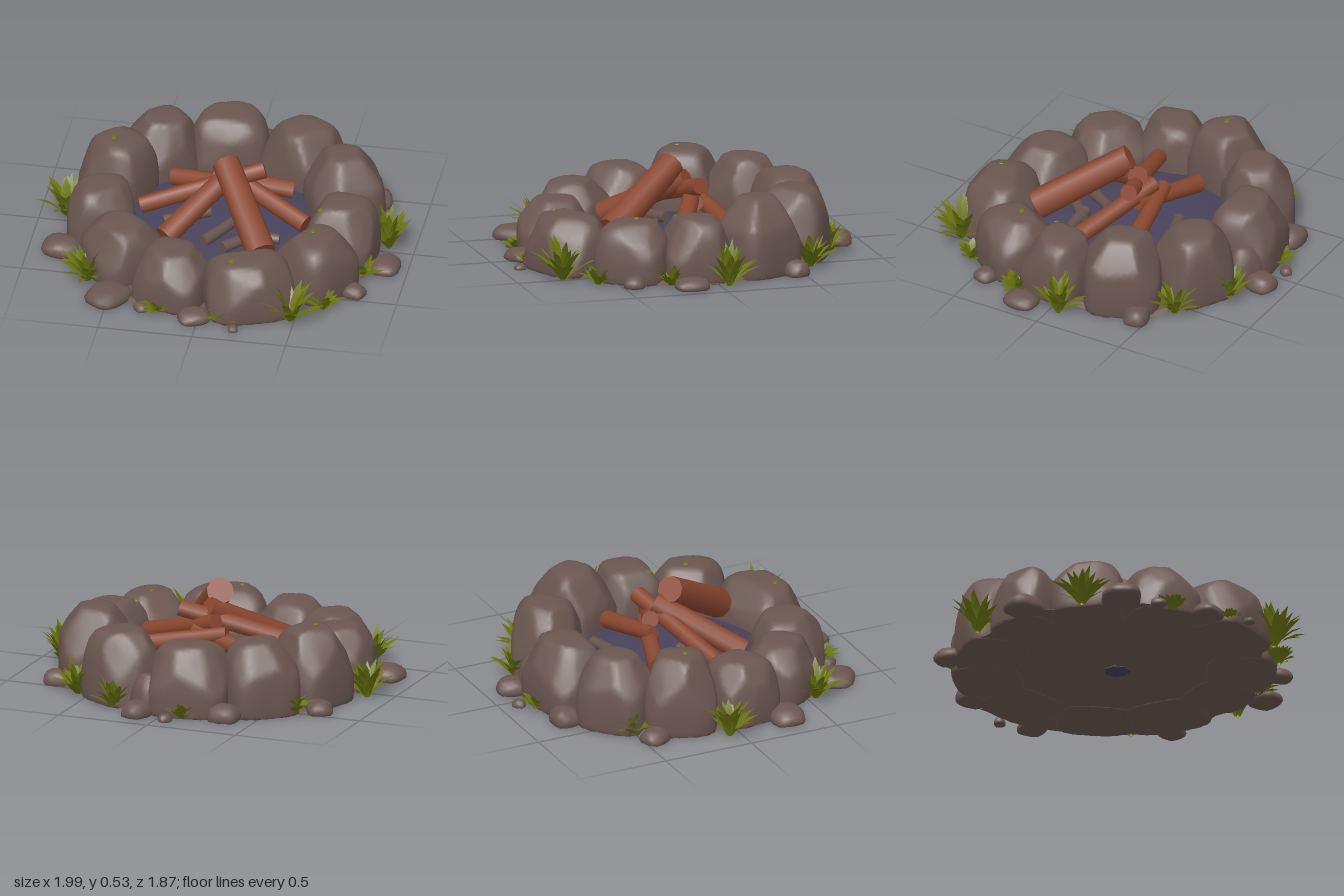
import * as THREE from 'three';
import { mergeVertices, mergeGeometries } from 'three/addons/utils/BufferGeometryUtils.js';

const mat = (name, color, side = THREE.FrontSide) => {
  const m = new THREE.MeshStandardMaterial({ color, side });
  m.name = name;
  return m;
};

// small seeded random generator
function seeded(seed) {
  let s = seed * 7919 + 17;
  const next = () => ((s = (s * 16807) % 2147483647) / 2147483647);
  for (let i = 0; i < 5; i++) next();
  return next;
}

// rounded block with a few planes shaved off, cut flat at the ground
function rockGeometry(rt, h, rr, seed, detail) {
  const rnd = seeded(seed);
  const planes = [];
  for (let i = 0; i < 9; i++) {
    const a = (i + rnd() * 0.7) * 2.4;
    planes.push({
      n: new THREE.Vector3(Math.cos(a), 0.1 + rnd() * 0.9, Math.sin(a)).normalize(),
      d: 0.97 + rnd() * 0.13,
    });
  }
  const geo = new THREE.IcosahedronGeometry(1, detail);
  geo.deleteAttribute('uv');
  geo.deleteAttribute('normal');
  const rock = mergeVertices(geo, 1e-4);
  const pos = rock.attributes.position;
  const v = new THREE.Vector3();
  const n = 3.7;
  for (let i = 0; i < pos.count; i++) {
    v.fromBufferAttribute(pos, i);
    const k = Math.abs(v.x) ** n + Math.abs(v.y) ** n + Math.abs(v.z) ** n;
    v.multiplyScalar(k ** (-1 / n));
    for (const p of planes) {
      const over = v.dot(p.n) - p.d;
      if (over > 0) v.addScaledVector(p.n, -over * 0.8);
    }
    const taper = 1 - 0.1 * Math.max(0, v.y);
    pos.setXYZ(i, v.x * rt * taper, Math.max(0, h * (0.35 + 0.65 * v.y)), v.z * rr * taper);
  }
  rock.computeVertexNormals();
  return rock;
}

// cylinder running between two points
function logMesh(name, a, b, ra, rb, material) {
  const A = new THREE.Vector3(...a), B = new THREE.Vector3(...b);
  const dir = B.clone().sub(A);
  const mesh = new THREE.Mesh(new THREE.CylinderGeometry(rb, ra, dir.length(), 10), material);
  mesh.name = name;
  mesh.position.copy(A).add(B).multiplyScalar(0.5);
  mesh.quaternion.setFromUnitVectors(new THREE.Vector3(0, 1, 0), dir.normalize());
  return mesh;
}

// one tapered blade that rises and bends outward
function bladeGeometry(angle, reach, height, width) {
  const verts = [], index = [];
  const c = Math.cos(angle), s = Math.sin(angle);
  const widths = [0.5, 1, 0.8, 0];
  for (let i = 0; i < 4; i++) {
    const t = i / 3;
    const r = 0.01 + reach * t ** 1.3;
    const y = height * (1.3 * t - 0.3 * t ** 3);
    const w = (width * widths[i]) / 2;
    verts.push(c * r - s * w, y, s * r + c * w, c * r + s * w, y, s * r - c * w);
    if (i < 3) index.push(2 * i, 2 * i + 1, 2 * i + 2, 2 * i + 1, 2 * i + 3, 2 * i + 2);
  }
  const g = new THREE.BufferGeometry();
  g.setAttribute('position', new THREE.Float32BufferAttribute(verts, 3));
  g.setIndex(index);
  g.computeVertexNormals();
  return g;
}

function tuftGeometry(radius, height, seed) {
  const rnd = seeded(seed);
  const blades = [];
  const count = 32;
  for (let i = 0; i < count; i++) {
    const lean = 0.3 + 0.7 * rnd();
    blades.push(bladeGeometry(
      (i / count) * Math.PI * 6 + rnd() * 0.5,
      radius * lean,
      height * (1.1 - 0.6 * lean) * (0.8 + 0.4 * rnd()),
      0.036 + 0.014 * rnd(),
    ));
  }
  return mergeGeometries(blades);
}

export function createModel() {
  const model = new THREE.Group();
  model.name = 'campfire';
  const stone = mat('stone brown', 0x6a5650);
  const wood = mat('wood red brown', 0x8a4730);
  const char = mat('charred wood', 0x66534c);
  const ash = mat('ash blue grey', 0x48435c);
  const grass = mat('grass green', 0x6c7610, THREE.DoubleSide);
  const add = (name, geo, material, x = 0, y = 0, z = 0, ry = 0) => {
    const m = new THREE.Mesh(geo, material);
    m.name = name;
    m.position.set(x, y, z);
    m.rotation.y = ry;
    model.add(m);
    return m;
  };

  // ragged earth disc
  const earth = new THREE.CylinderGeometry(0.78, 0.81, 0.016, 80);
  const p = earth.attributes.position;
  for (let i = 0; i < p.count; i++) {
    const a = Math.atan2(p.getZ(i), p.getX(i));
    const k = 1 + 0.02 * Math.sin(7 * a) + 0.02 * Math.sin(19 * a + 1);
    p.setX(i, p.getX(i) * k);
    p.setZ(i, p.getZ(i) * k);
  }
  add('earthBase', earth, stone, 0, 0.012, 0);

  // ash bed, showing through a small gap underneath
  const bed = [[0.62, 0.03], [0.5, 0.09], [0.3, 0.12], [0, 0.13]].map((q) => new THREE.Vector2(...q));
  add('ashBed', new THREE.LatheGeometry(bed, 40), ash);
  add('ashGap', new THREE.CylinderGeometry(0.07, 0.07, 0.006, 7), ash, 0.02, 0.003, 0);

  // ring stones: x, z, tangent radius, radial radius, height
  const stones = [
    [-0.62, -0.235, 0.195, 0.185, 0.41], [-0.44, -0.51, 0.195, 0.185, 0.39],
    [-0.1, -0.65, 0.22, 0.185, 0.37], [0.31, -0.56, 0.205, 0.185, 0.385],
    [0.58, -0.28, 0.205, 0.2, 0.41], [0.64, 0.07, 0.175, 0.18, 0.335],
    [0.55, 0.38, 0.195, 0.19, 0.315], [0.24, 0.645, 0.235, 0.195, 0.3],
    [-0.17, 0.61, 0.195, 0.19, 0.29], [-0.48, 0.41, 0.195, 0.19, 0.305],
    [-0.645, 0.11, 0.175, 0.18, 0.335],
  ].map(([x, z, rt, rr, h], i) =>
    add('ringStone', rockGeometry(rt, h, rr, i + 3, 9), stone, x, 0, z, Math.atan2(x, z)));

  // moss specks dropped onto the stones: x, z
  model.updateMatrixWorld(true);
  const down = new THREE.Vector3(0, -1, 0);
  [[-0.635, -0.21], [0.53, 0.36], [0.155, 0.7], [0.53, 0.15]].forEach(([x, z]) => {
    const [hit] = new THREE.Raycaster(new THREE.Vector3(x, 2, z), down).intersectObjects(stones);
    const speck = add('mossSpeck', new THREE.CylinderGeometry(0.014, 0.018, 0.009, 6), grass);
    speck.position.copy(hit.point);
    speck.quaternion.setFromUnitVectors(
      new THREE.Vector3(0, 1, 0), hit.face.normal.clone().transformDirection(hit.object.matrixWorld));
  });

  // loose pebbles: x, z, radius, height
  [
    [-0.34, -0.77, 0.085, 0.09], [0.12, -0.85, 0.085, 0.08], [0.1, -0.74, 0.09, 0.2],
    [-0.06, -0.9, 0.035, 0.04], [-0.75, -0.44, 0.08, 0.07], [0.73, -0.45, 0.075, 0.08],
    [0.88, 0.16, 0.09, 0.06], [0.76, 0.44, 0.065, 0.06], [-0.5, 0.71, 0.12, 0.07],
    [-0.31, 0.785, 0.04, 0.04], [-0.02, 0.83, 0.085, 0.06], [0.2, 0.9, 0.03, 0.03],
    [-0.82, 0.29, 0.105, 0.08],
  ].forEach(([x, z, r, h], i) =>
    add('pebble', rockGeometry(r, h, r * 0.85, i + 31, 2), stone, x, 0, z, i * 1.3));

  // grass tufts: x, z, spread, height
  [
    [-0.64, 0.55, 0.17, 0.2], [-0.86, -0.06, 0.16, 0.24], [0.86, -0.05, 0.16, 0.23],
    [0.48, 0.75, 0.19, 0.23], [0.56, -0.58, 0.15, 0.19], [0.29, -0.75, 0.15, 0.17],
    [-0.12, -0.81, 0.12, 0.1], [-0.63, -0.52, 0.12, 0.14], [0.77, 0.24, 0.12, 0.11],
    [-0.22, 0.78, 0.11, 0.08], [0.13, 0.82, 0.1, 0.08], [0.63, 0.6, 0.1, 0.1],
  ].forEach(([x, z, r, h], i) => add('grassTuft', tuftGeometry(r, h, i + 5), grass, x, 0, z));

  // leaning firewood: low end, high end, radii
  [
    [[0.265, 0.19, 0.42], [0.0, 0.465, 0.01], 0.08, 0.072],
    [[-0.27, 0.16, 0.31], [0.04, 0.39, -0.06], 0.062, 0.056],
    [[-0.44, 0.2, 0.09], [0.19, 0.38, -0.09], 0.045, 0.045],
    [[0.44, 0.18, 0.09], [-0.03, 0.33, -0.12], 0.05, 0.045],
    [[-0.32, 0.2, -0.22], [0.1, 0.27, -0.09], 0.048, 0.042],
    [[0.32, 0.2, -0.2], [-0.1, 0.28, -0.14], 0.048, 0.04],
  ].forEach(([a, b, ra, rb]) => model.add(logMesh('firewoodLog', a, b, ra, rb, wood)));

  // burnt sticks lying on the ash
  [
    [[-0.05, 0.14, -0.26], [0.21, 0.15, -0.34]],
    [[-0.31, 0.14, 0.13], [-0.08, 0.16, 0.02]],
    [[-0.07, 0.14, 0.29], [0.06, 0.16, 0.1]],
    [[0.04, 0.14, 0.33], [0.22, 0.15, 0.16]],
    [[0.14, 0.15, 0.2], [0.32, 0.14, 0.195]],
  ].forEach(([a, b]) => model.add(logMesh('burntStick', a, b, 0.034, 0.028, char)));

  return model;
}
